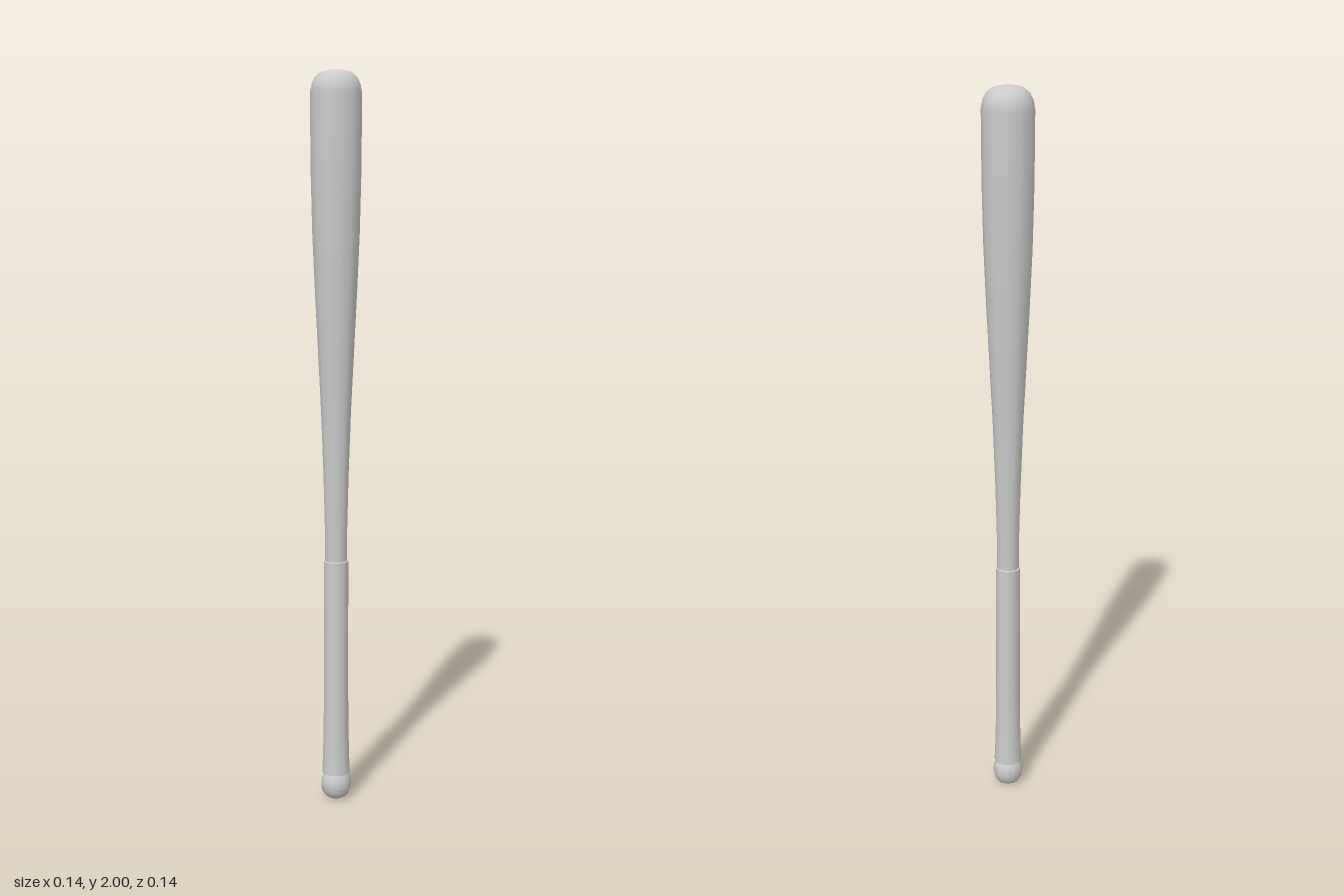
import * as THREE from 'three';

const SIDES = 12;
const material = new THREE.MeshStandardMaterial({ color: 0xcccccc });

// Turned part from [radius, height] pairs, listed bottom to top
function turned(name, profile) {
  const points = profile.map(([r, y]) => new THREE.Vector2(r, y));
  const mesh = new THREE.Mesh(new THREE.LatheGeometry(points, SIDES), material);
  mesh.name = name;
  return mesh;
}

export function createModel() {
  const bat = new THREE.Group();
  bat.name = 'bat';

  // Rounded knob at the bottom end
  bat.add(turned('knob', [
    [0, 0], [0.018, 0.002], [0.031, 0.01], [0.039, 0.023],
    [0.042, 0.04], [0.041, 0.056], [0.036, 0.07], [0.03, 0.08],
  ]));

  // Wrapped grip, a little thicker than the wood and flared at the knob
  bat.add(turned('grip', [
    [0.039, 0.075], [0.037, 0.12], [0.035, 0.2], [0.034, 0.32],
    [0.034, 0.5], [0.034, 0.682],
  ]));

  // Flat rims closing the grip's two ends
  bat.add(turned('gripLowerRim', [[0.028, 0.075], [0.039, 0.075]]));
  bat.add(turned('gripUpperRim', [[0.034, 0.682], [0.029, 0.684]]));

  // Tapered barrel with a domed end
  bat.add(turned('barrel', [
    [0.03, 0.67], [0.031, 0.78], [0.0345, 0.92], [0.041, 1.1],
    [0.049, 1.26], [0.057, 1.42], [0.064, 1.58], [0.068, 1.75],
    [0.069, 1.94], [0.065, 1.963], [0.056, 1.982], [0.041, 1.994],
    [0.02, 1.999], [0, 2],
  ]));

  return bat;
}
